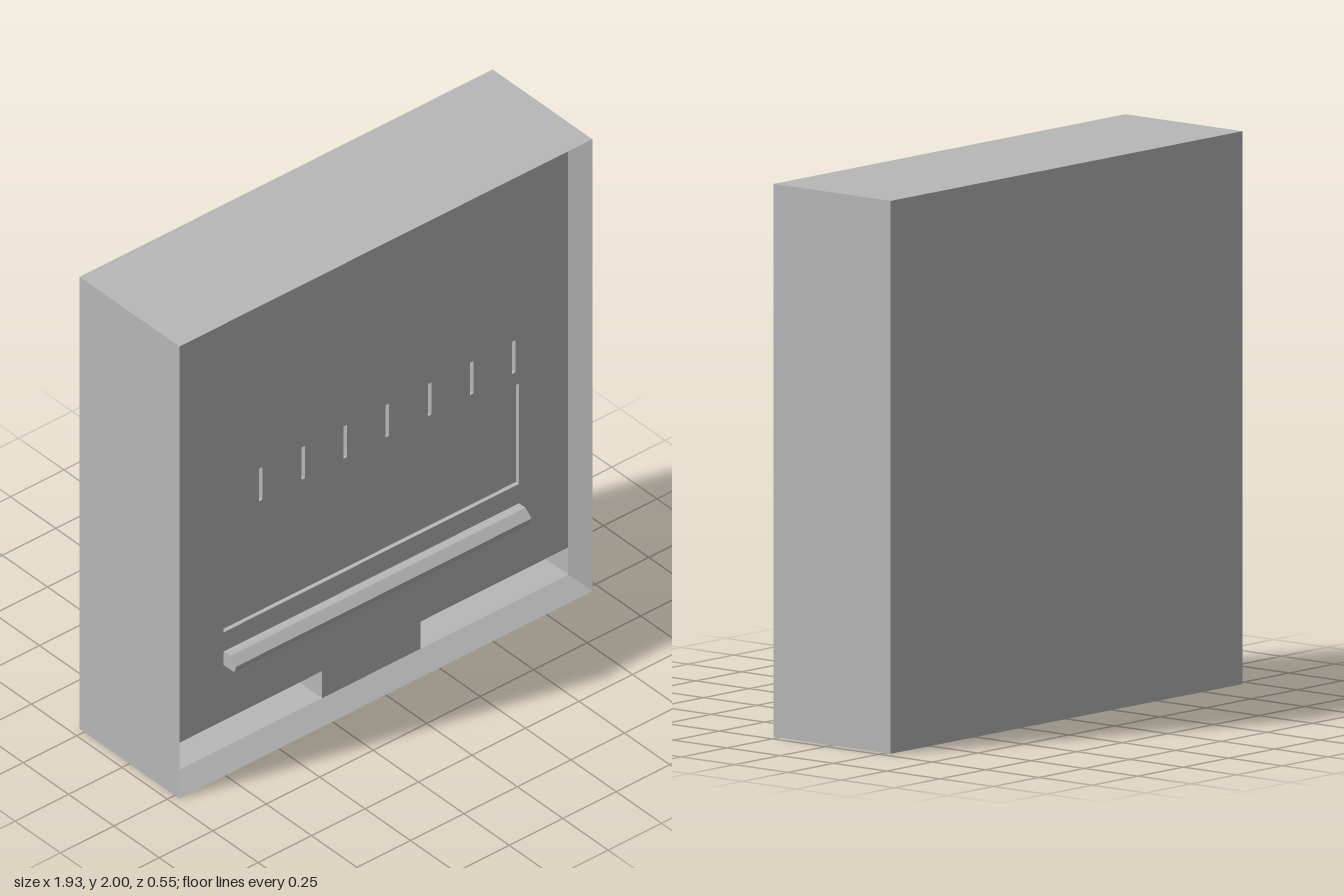
import * as THREE from 'three';

const grey = new THREE.MeshStandardMaterial({ color: 0xb8b8b8 });
grey.name = 'plain grey';

function add(group, name, geometry, x = 0, y = 0, z = 0) {
  const mesh = new THREE.Mesh(geometry, grey);
  mesh.name = name;
  mesh.position.set(x, y, z);
  group.add(mesh);
}

// Flat-sided loft through rectangular rings [halfWidth, bottom, top, z], closed at both ends
function loftRings(rings) {
  const corners = rings.map(([w, b, t, z]) => [[-w, b, z], [w, b, z], [w, t, z], [-w, t, z]]);
  const pos = [];
  const quad = (a, b, c, d) => pos.push(...a, ...b, ...c, ...a, ...c, ...d);
  for (let r = 0; r < corners.length - 1; r++) {
    const p = corners[r], q = corners[r + 1];
    for (let i = 0; i < 4; i++) {
      const j = (i + 1) % 4;
      quad(p[i], p[j], q[j], q[i]);
    }
  }
  const [first, last] = [corners[0], corners[corners.length - 1]];
  quad(first[3], first[2], first[1], first[0]);
  quad(...last);
  const g = new THREE.BufferGeometry();
  g.setAttribute('position', new THREE.Float32BufferAttribute(pos, 3));
  g.computeVertexNormals();
  return g;
}

const polygon = (points) => new THREE.Shape(points.map(([x, y]) => new THREE.Vector2(x, y)));

function rectHole(x0, x1, y0, y1) {
  return new THREE.Path([[x0, y0], [x0, y1], [x1, y1], [x1, y0]].map(([x, y]) => new THREE.Vector2(x, y)));
}

// Side profile of [z, y] points, extruded across the width
function acrossWidth(points, width) {
  const g = new THREE.ExtrudeGeometry(polygon(points), { depth: width, bevelEnabled: false });
  g.translate(0, 0, -width / 2);
  return g.rotateY(-Math.PI / 2);
}

export function createModel() {
  const group = new THREE.Group();
  group.name = 'cabinet';

  const face = 0.195, panelDepth = 0.025, panelBack = face - panelDepth;
  const inner = 0.92, floor = 0.05, ceiling = 1.955, slotTop = 0.17, cavityBack = -0.1;

  // Casing with flared front rim and hollow interior
  add(group, 'casing', loftRings([
    [0.965, 0, 2, -0.275],
    [0.965, 0, 2, 0.275],
    [inner, floor, ceiling, face],
    [inner, floor, ceiling, cavityBack],
  ]));

  // Front panel with window, vents and a centre tongue between the lower openings
  const panel = polygon([
    [-inner, slotTop], [-0.23, slotTop], [-0.23, floor], [0.23, floor],
    [0.23, slotTop], [inner, slotTop], [inner, ceiling], [-inner, ceiling],
  ]);
  panel.holes.push(rectHole(-0.69, 0.69, 0.56, 1.005));
  for (let i = 0; i < 7; i++) {
    const x = -0.516 + i * 0.197;
    panel.holes.push(rectHole(x - 0.008, x + 0.008, 1.062, 1.205));
  }
  add(group, 'frontPanel',
    new THREE.ExtrudeGeometry(panel, { depth: panelDepth, bevelEnabled: false }), 0, 0, panelBack);

  // Shallow window recess
  add(group, 'windowPlate', new THREE.BoxGeometry(1.38, 0.445, 0.008), 0, 0.7825, panelBack + 0.004);

  // Solid core behind the panel, sloping down over the lower openings
  add(group, 'core', acrossWidth([
    [cavityBack, 0.11], [panelBack, slotTop], [panelBack, ceiling], [cavityBack, ceiling],
  ], inner * 2));

  // Divider between the lower openings
  add(group, 'divider', new THREE.BoxGeometry(0.46, 0.12, panelBack - cavityBack),
    0, floor + 0.06, (panelBack + cavityBack) / 2);

  // Ledge below the window
  add(group, 'ledge', acrossWidth([
    [face - 0.01, 0.415], [face + 0.058, 0.415], [face + 0.07, 0.447],
    [face + 0.035, 0.475], [face - 0.01, 0.475],
  ], 1.38));

  return group;
}
